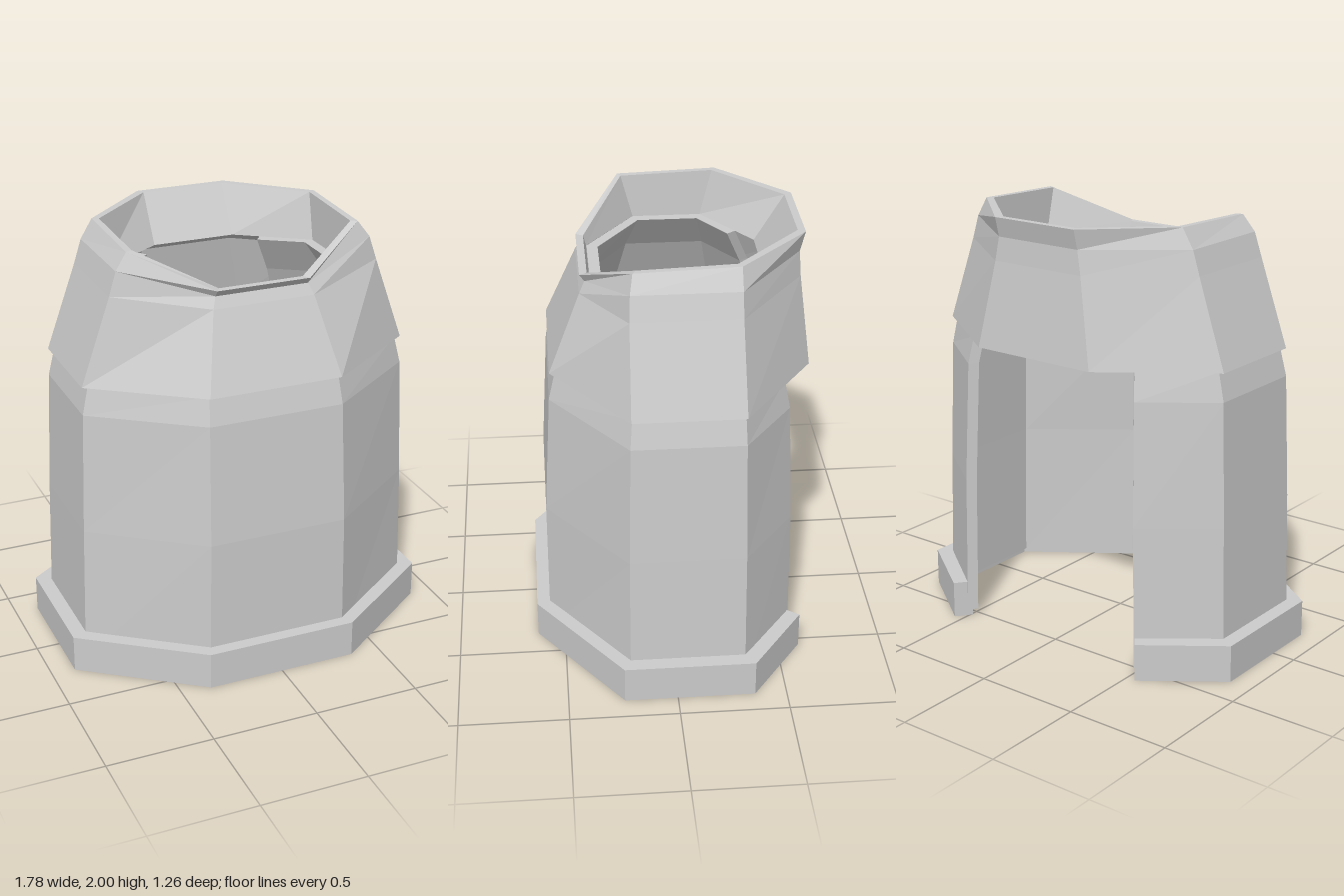
import * as THREE from 'three';

const material = new THREE.MeshStandardMaterial({ color: 0xcccccc, flatShading: true, side: THREE.DoubleSide });

// One eight-sided section: half width, corner x, front z, side z (front, back), back z,
// then heights at the front, side front, side back and back corners.
function section([w, c, zf, a, b, zb, yf, ya = yf, yb = ya, yk = yb], reach = 1) {
  const half = [
    [THREE.MathUtils.lerp(w, c, reach), yk, THREE.MathUtils.lerp(b, zb, reach)],
    [w, yb, b], [w, ya, a], [c, yf, zf],
  ];
  return [...half, ...half.slice().reverse().map(([x, y, z]) => [-x, y, z])];
}

// Joins a closed run of sections; an open shell leaves out the back and caps its ends.
function loft(name, rows, reach) {
  const open = reach !== undefined;
  const s = rows.map((r) => section(r, reach));
  const n = s.length;
  const pos = [];
  const quad = (a, b, c, d) => [a, b, c, a, c, d].forEach((p) => pos.push(...p));
  for (let i = 0; i < n; i++) {
    const k = (i + 1) % n;
    for (let j = 0; j < (open ? 7 : 8); j++) {
      const m = (j + 1) % 8;
      quad(s[i][m], s[i][j], s[k][j], s[k][m]);
    }
  }
  if (open) {
    for (let i = 0; i < n / 2 - 1; i++) {
      const p = n - 1 - i;
      quad(s[i][0], s[p][0], s[p - 1][0], s[i + 1][0]);
      quad(s[i + 1][7], s[p - 1][7], s[p][7], s[i][7]);
    }
  }
  const geometry = new THREE.BufferGeometry();
  geometry.setAttribute('position', new THREE.Float32BufferAttribute(pos, 3));
  geometry.computeVertexNormals();
  const mesh = new THREE.Mesh(geometry, material);
  mesh.name = name;
  return mesh;
}

// Adds the inner face of a wall to its outer sections.
function shell(outer, t) {
  const inner = outer.map(([w, c, zf, a, b, zb, y]) =>
    [w - t, c - t * 0.4, zf - t, a - t * 0.4, b + t * 0.4, zb + t, y]);
  return [...outer, ...inner.reverse()];
}

export function createModel() {
  const group = new THREE.Group();
  group.name = 'octagonalHousing';

  // Plinth around the foot, open at the back
  group.add(loft('plinth', shell([
    [0.89, 0.36, 0.628, 0.243, -0.355, -0.74, 0],
    [0.89, 0.36, 0.628, 0.243, -0.355, -0.74, 0.175],
  ], 0.09), 0.65));

  // Hollow wall, drawn in towards a flat ledge at the top
  group.add(loft('body', shell([
    [0.825, 0.337, 0.568, 0.212, -0.315, -0.68, 0.03],
    [0.808, 0.33, 0.567, 0.21, -0.31, -0.675, 0.7],
    [0.787, 0.32, 0.535, 0.2, -0.3, -0.645, 1.27],
    [0.757, 0.31, 0.505, 0.19, -0.295, -0.61, 1.4],
    [0.655, 0.26, 0.42, 0.15, -0.26, -0.53, 1.6],
    [0.52, 0.2, 0.333, 0.1, -0.22, -0.44, 1.78],
  ], 0.05), 0.66));

  // Closed collar: outer face, dipped rim, funnel inside, then the underside
  group.add(loft('collar', [
    [0.785, 0.315, 0.53, 0.195, -0.3, -0.632, 1.4],
    [0.645, 0.24, 0.385, 0.19, -0.29, -0.59, 1.75, 1.8],
    [0.61, 0.22, 0.36, 0.185, -0.29, -0.585, 1.8, 1.91],
    [0.555, 0.22, 0.382, 0.17, -0.29, -0.608, 1.83, 1.985, 2],
    [0.525, 0.2, 0.348, 0.155, -0.275, -0.575, 1.83, 1.985, 2],
    [0.52, 0.2, 0.335, 0.1, -0.22, -0.44, 1.78],
    [0.59, 0.225, 0.36, 0.15, -0.27, -0.54, 1.73],
    [0.765, 0.305, 0.51, 0.19, -0.295, -0.61, 1.4],
  ]));

  return group;
}
